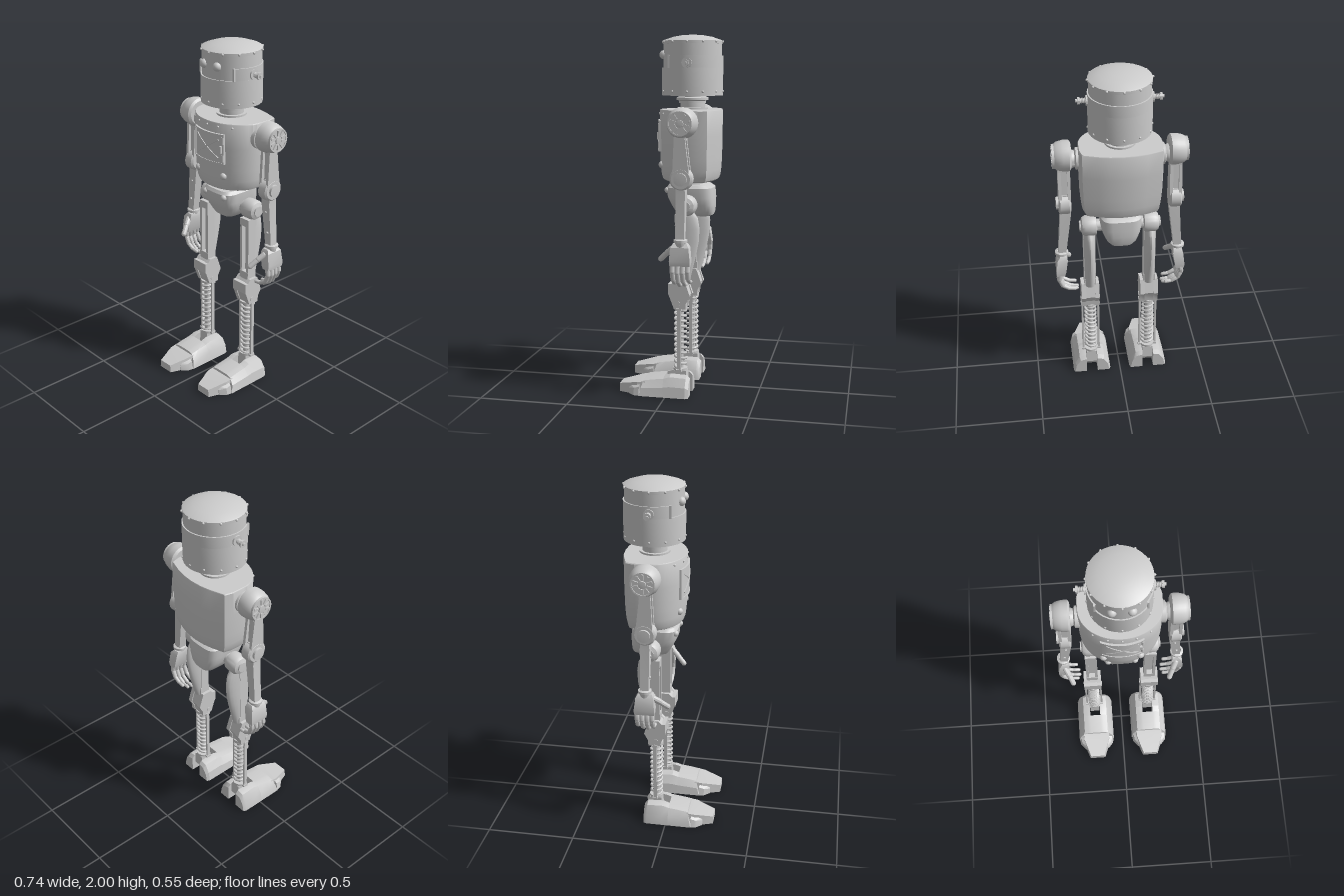
import * as THREE from 'three';
import { toCreasedNormals } from 'three/addons/utils/BufferGeometryUtils.js';

const MAT = new THREE.MeshStandardMaterial({ color: 0xcccccc, side: THREE.DoubleSide });
const V = (x, y, z) => new THREE.Vector3(x, y, z);

function add(group, name, geo, x = 0, y = 0, z = 0) {
  const m = new THREE.Mesh(geo, MAT);
  m.name = name;
  m.position.set(x, y, z);
  group.add(m);
  return m;
}
const box = (w, h, d, sx = 1) => new THREE.BoxGeometry(w, h, d, sx, 1, 1);
const ball = (r) => new THREE.SphereGeometry(r, 12, 8);

// Turned part from [radius, height] pairs, listed from bottom to top
function turned(pts, start = 0, sweep = Math.PI * 2) {
  return toCreasedNormals(new THREE.LatheGeometry(pts.map((p) => new THREE.Vector2(...p)), 32, start, sweep), 0.6);
}
// The same, lying along x
const turnedX = (pts) => turned(pts).rotateZ(-Math.PI / 2);

// Skin over matching rings of points, with closed ends
function loft(rings, crease = 0.6) {
  const tris = [], n = rings[0].length;
  for (let i = 0; i < rings.length - 1; i++) for (let j = 0; j < n; j++) {
    const k = (j + 1) % n, [r, s] = [rings[i], rings[i + 1]];
    tris.push([r[j], r[k], s[k]], [r[j], s[k], s[j]]);
  }
  const mid = (r) => r.reduce((a, p) => a.add(p), V(0, 0, 0)).divideScalar(n);
  const first = rings[0], last = rings[rings.length - 1], a = mid(first), b = mid(last);
  for (let j = 0; j < n; j++) {
    const k = (j + 1) % n;
    tris.push([first[k], first[j], a], [last[j], last[k], b]);
  }
  const volume = tris.reduce((s, t) => s + t[0].dot(t[1].clone().cross(t[2])), 0);
  const geo = new THREE.BufferGeometry().setFromPoints(tris.flatMap((t) => (volume < 0 ? [t[0], t[2], t[1]] : t)));
  return toCreasedNormals(geo, crease);
}
const rect = (x0, x1, y, z0, z1) => [V(x0, y, z0), V(x1, y, z0), V(x1, y, z1), V(x0, y, z1)];

// Plate cut from a [z, y] outline, running from x0 to x1
function slab(pts, x0, x1) {
  const shape = new THREE.Shape(pts.map(([z, y]) => new THREE.Vector2(-z, y)));
  return new THREE.ExtrudeGeometry(shape, { depth: x1 - x0, bevelEnabled: false }).rotateY(Math.PI / 2).translate(x0, 0, 0);
}
// Jointed chain of rounded bones
function bones(group, name, pts, r) {
  for (let i = 0; i < pts.length - 1; i++) {
    const d = pts[i + 1].clone().sub(pts[i]);
    const m = add(group, name, new THREE.CapsuleGeometry(r * (1 - 0.1 * i), d.length() * 0.85, 4, 10));
    m.position.copy(pts[i]).addScaledVector(d, 0.5);
    m.quaternion.setFromUnitVectors(V(0, 1, 0), d.normalize());
  }
}
// Mirror copy across x = 0 with corner order kept right
function mirrored(src, name) {
  const out = new THREE.Group();
  out.name = name;
  src.updateMatrixWorld(true);
  src.traverse((o) => {
    if (!o.isMesh) return;
    const g = (o.geometry.index ? o.geometry.toNonIndexed() : o.geometry.clone()).applyMatrix4(o.matrixWorld);
    g.scale(-1, 1, 1);
    for (const at of [g.attributes.position, g.attributes.normal]) for (let i = 0; i < at.count; i += 3) {
      const p = V().fromBufferAttribute(at, i + 1), q = V().fromBufferAttribute(at, i + 2);
      at.setXYZ(i + 1, q.x, q.y, q.z);
      at.setXYZ(i + 2, p.x, p.y, p.z);
    }
    g.computeVertexNormals();
    add(out, o.name, toCreasedNormals(g, 0.6));
  });
  return out;
}

function head() {
  const g = new THREE.Group(), z = -0.1;
  g.name = 'head';
  add(g, 'skull', turned([[0.163, 1.8], [0.163, 1.95], [0.167, 1.95], [0.167, 1.966], [0.16, 1.97], [0.11, 1.987], [0.055, 1.997], [0, 1.998]]), 0, 0, z);
  add(g, 'jawShell', turned([[0, 1.675], [0.15, 1.675], [0.15, 1.667], [0.17, 1.667], [0.17, 1.82], [0.16, 1.82]]), 0, 0, z);
  const a = 0.86;
  add(g, 'backShell', turned([[0.17, 1.82], [0.17, 1.885], [0.162, 1.885]], a, 2 * (Math.PI - a)), 0, 0, z);
  for (let i = 0; i < 12; i++) {
    const t = (i * Math.PI) / 6;
    for (const y of [1.69, 1.96]) add(g, 'headRivet', ball(0.007), 0.169 * Math.sin(t), y, z + 0.169 * Math.cos(t));
  }
  for (const s of [-1, 1]) {
    add(g, 'eye', ball(0.025), s * 0.05, 1.89, 0.053);
    add(g, 'temple', box(0.01, 0.07, 0.012), s * 0.132, 1.853, 0.008);
    const ear = add(g, 'earBolt', turnedX([[0.028, 0.16], [0.028, 0.177], [0.01, 0.177], [0.01, 0.208], [0.02, 0.208], [0.02, 0.22], [0.009, 0.22], [0.009, 0.23], [0, 0.23]]), 0, 1.845, z);
    if (s < 0) ear.rotation.y = Math.PI;
    for (let i = 0; i < 4; i++) add(g, 'earThread', new THREE.TorusGeometry(0.011, 0.004, 6, 14).rotateY(Math.PI / 2), s * (0.182 + i * 0.008), 1.845, z);
  }
  add(g, 'neck', turned([[0.085, 1.575], [0.085, 1.6], [0.068, 1.6], [0.068, 1.625], [0.075, 1.625], [0.075, 1.637], [0.09, 1.642], [0.09, 1.655], [0.075, 1.66], [0.075, 1.68]]), 0, 0, z);
  return g;
}

const frontZ = (x) => -0.1 + 0.18 * Math.sqrt(1 - (x / 0.225) ** 2);
// Wrap a flat piece onto the chest curve
function onChest(geo, x, y, lift) {
  geo.translate(x, y, lift);
  const p = geo.attributes.position;
  for (let i = 0; i < p.count; i++) p.setZ(i, p.getZ(i) + frontZ(p.getX(i)));
  geo.computeVertexNormals();
  return geo;
}

function body() {
  const g = new THREE.Group();
  g.name = 'body';
  const outline = [];
  for (let i = 0; i <= 24; i++) {
    const t = (i * Math.PI) / 24;
    outline.push([0.225 * Math.cos(t), -0.1 + 0.18 * Math.sin(t)]);
  }
  const back = [[-0.225, -0.17], [-0.212, -0.22], [-0.13, -0.247], [-0.07, -0.26]];
  outline.push(...back, [0, -0.265], ...back.map(([x, z]) => [-x, z]).reverse());
  const rings = [[1.59, 0.985], [1.585, 1], [1.45, 1], [1.32, 0.985], [1.26, 0.965], [1.225, 0.94], [1.205, 0.9], [1.197, 0.83]];
  add(g, 'torso', loft(rings.map(([y, s]) => outline.map(([x, z]) => V(x * s, y, -0.095 + (z + 0.095) * s)))));
  // Chest hatch with frame, crossed ridges, hinge and bolts
  add(g, 'hatch', onChest(box(0.23, 0.17, 0.012, 12), 0, 1.445, 0.002));
  for (const s of [-1, 1]) {
    add(g, 'hatchFrame', onChest(box(0.23, 0.009, 0.014, 12), 0, 1.445 + s * 0.082, 0.005));
    add(g, 'hatchFrame', onChest(box(0.009, 0.17, 0.014), s * 0.111, 1.445, 0.005));
    add(g, 'hatchRidge', onChest(box(0.2, 0.009, 0.014, 12).rotateZ(s * 0.58), 0, 1.445, 0.005));
    add(g, 'hatchHinge', new THREE.CylinderGeometry(0.008, 0.008, 0.04, 10), 0.108, 1.445 + s * 0.05, 0.066);
    add(g, 'bellyBolt', ball(0.021), s * 0.1, 1.285, 0.052);
  }
  add(g, 'hatchHandle', box(0.014, 0.04, 0.02), 0.1, 1.445, 0.07);
  for (let i = -2; i <= 2; i++) add(g, 'chestRivet', ball(0.007), i * 0.075, 1.568, frontZ(i * 0.075));
  // Waist and pelvis
  add(g, 'waist', turned([[0.065, 1.15], [0.065, 1.178], [0.085, 1.18], [0.085, 1.19], [0.07, 1.19], [0.07, 1.21]]), 0, 0, -0.095);
  const hips = [[1.172, 0.1, 0.025, -0.2], [1.155, 0.115, 0.037, -0.225], [1.1, 0.114, 0.032, -0.23], [1.06, 0.105, 0.012, -0.23], [1.02, 0.087, -0.01, -0.228], [1.0, 0.068, -0.022, -0.222], [0.992, 0.045, -0.045, -0.2]];
  const bulge = (v) => Math.sign(v) * Math.sqrt(Math.abs(v));
  add(g, 'pelvis', loft(hips.map(([y, hx, f, b]) => Array.from({ length: 28 }, (_, i) => {
    const t = (i * Math.PI) / 14;
    return V(hx * bulge(Math.cos(t)), y, (f + b) / 2 + ((f - b) / 2) * bulge(Math.sin(t)));
  }))));
  for (const s of [-1, 1]) add(g, 'pelvisBolt', ball(0.018), s * 0.075, 1.14, 0.027);
  return g;
}

function arm() {
  const g = new THREE.Group(), z = -0.1;
  g.name = 'leftArm';
  add(g, 'shoulderSocket', turnedX([[0.06, 0.2], [0.06, 0.238], [0.045, 0.245], [0.05, 0.258], [0.05, 0.28]]), 0, 1.505, z);
  add(g, 'shoulder', turnedX([[0, 0.262], [0.07, 0.262], [0.084, 0.272], [0.084, 0.305], [0.076, 0.338], [0.066, 0.352], [0.066, 0.364], [0.058, 0.364], [0.058, 0.358], [0.02, 0.358], [0.02, 0.368], [0, 0.37]]), 0, 1.527, z);
  for (let i = 0; i < 10; i++) add(g, 'shoulderSpoke', box(0.012, 0.03, 0.012).translate(0, 0.04, 0).rotateX((i * Math.PI) / 5), 0.36, 1.527, z);
  // Slotted upper arm
  const side = [[-0.065, 1.47], [-0.12, 1.47], [-0.145, 1.26], [-0.055, 1.26]];
  for (const x of [0.27, 0.32]) add(g, 'upperArmRail', slab(side, x, x + 0.017));
  add(g, 'upperArmCore', slab([[-0.08, 1.47], [-0.11, 1.47], [-0.125, 1.24], [-0.075, 1.24]], 0.287, 0.32));
  for (const y of [1.455, 1.275]) add(g, 'upperArmBlock', box(0.055, 0.03, 0.055), 0.304, y, z);
  add(g, 'elbow', turnedX([[0, 0.27], [0.05, 0.27], [0.062, 0.28], [0.062, 0.33], [0.052, 0.338], [0.035, 0.338], [0.035, 0.352], [0, 0.354]]), 0, 1.23, z);
  // Forearm and wrist
  add(g, 'forearm', loft([rect(0.27, 0.333, 1.19, -0.122, -0.074), rect(0.274, 0.333, 1.15, -0.124, -0.072), rect(0.306, 0.35, 0.9, -0.122, -0.076)], 0.2));
  for (const [x, y] of [[0.308, 1.1], [0.322, 0.98]]) add(g, 'forearmRivet', ball(0.008), x, y, -0.074);
  add(g, 'wrist', turned([[0.025, 0.86], [0.03, 0.89], [0.038, 0.892], [0.038, 0.905], [0.025, 0.91]]), 0.331, 0, z);
  // Hand
  add(g, 'palm', loft([rect(0.305, 0.342, 0.885, -0.135, -0.06), rect(0.3, 0.358, 0.865, -0.148, -0.048), rect(0.312, 0.367, 0.79, -0.157, -0.043), rect(0.32, 0.364, 0.765, -0.155, -0.045)], 0.5));
  for (let i = 0; i < 4; i++) {
    const k = [0.92, 1.03, 1, 0.86][i], path = [[0.345, 0.775], [0.352, 0.725], [0.33, 0.675], [0.288, 0.65], [0.247, 0.645]];
    bones(g, 'finger', path.map(([x, y]) => V(0.345 + (x - 0.345) * k, 0.775 + (y - 0.775) * k, -0.058 - i * 0.028)), 0.0145);
  }
  bones(g, 'thumb', [V(0.325, 0.855, -0.055), V(0.305, 0.825, -0.02), V(0.282, 0.785, 0.022)], 0.017);
  return g;
}

function leg() {
  const g = new THREE.Group(), x = 0.172;
  g.name = 'leftLeg';
  add(g, 'hipJoint', turnedX([[0.035, 0.09], [0.035, 0.13], [0.055, 0.135], [0.058, 0.15], [0.058, 0.195], [0.048, 0.213], [0.03, 0.22], [0.03, 0.227], [0, 0.228]]), 0, 1.068, -0.1);
  // Thigh: two rails in front, rounded shell behind
  for (const s of [-1, 1]) add(g, 'thighRail', box(0.016, 0.36, 0.055), x + s * 0.026, 0.83, -0.07);
  for (const y of [1.0, 0.67]) add(g, 'thighBlock', box(0.068, 0.045, 0.062), x, y, -0.072);
  const shell = [[1.045, -0.135], [1.0, -0.165], [0.94, -0.174], [0.87, -0.17], [0.8, -0.157], [0.72, -0.138], [0.64, -0.118]];
  add(g, 'thighShell', loft(shell.map(([y, b]) => Array.from({ length: 13 }, (_, i) => {
    const t = (i * Math.PI) / 12;
    return V(x + 0.033 * Math.cos(t), y, -0.07 + (b + 0.07) * Math.sin(t));
  }))));
  // Knee: side plates around a core
  const knee = [[-0.045, 0.655], [-0.012, 0.62], [-0.01, 0.575], [-0.04, 0.495], [-0.105, 0.495], [-0.108, 0.53], [-0.13, 0.57], [-0.1, 0.655]];
  for (const k of [0.12, 0.198]) add(g, 'kneePlate', slab(knee, k, k + 0.026));
  add(g, 'kneeCore', slab(knee.map(([z, y]) => [-0.068 + (z + 0.068) * 0.9, y]), 0.146, 0.198));
  add(g, 'kneeCap', box(0.104, 0.06, 0.03), x, 0.605, -0.022);
  add(g, 'kneePin', turnedX([[0, -0.056], [0.014, -0.056], [0.014, 0.056], [0, 0.056]]), x, 0.525, -0.062);
  // Shin: rod, coil spring and side rails between two flanges
  const z = -0.068;
  for (const y of [0.142, 0.492]) {
    add(g, 'shinFlange', new THREE.CylinderGeometry(0.04, 0.04, 0.014, 24), x, y, z);
    add(g, 'shinBridge', box(0.112, 0.012, 0.03), x, y, z);
  }
  add(g, 'shinRod', new THREE.CylinderGeometry(0.018, 0.018, 0.4, 16), x, 0.32, z);
  for (const s of [-1, 1]) add(g, 'shinRail', box(0.011, 0.37, 0.02), x + s * 0.047, 0.317, z);
  const turns = 11, coil = Array.from({ length: turns * 12 + 1 }, (_, i) => {
    const t = (i * Math.PI) / 6;
    return V(0.031 * Math.cos(t), 0.15 + (0.335 * i) / (turns * 12), 0.031 * Math.sin(t));
  });
  add(g, 'spring', new THREE.TubeGeometry(new THREE.CatmullRomCurve3(coil), turns * 16, 0.0075, 6), x, 0, z);
  // Ankle
  add(g, 'ankle', slab([[-0.035, 0.135], [-0.105, 0.135], [-0.11, 0.06], [-0.09, 0.03], [-0.05, 0.03], [-0.03, 0.06]], x - 0.03, x + 0.03));
  add(g, 'anklePin', turnedX([[0.013, -0.06], [0.013, 0.06]]), x, 0.065, -0.07);
  // Foot: solid front, heel split in two lobes
  const half = (zz, s, w, h) => [[0.033, 0], [0.113 * w, 0], [0.103 * w, 0.06 * h], [0.075 * w, 0.108 * h], [0.05 * w, 0.116 * h], [0.033, 0.118 * h]].map(([px, py]) => V(x + s * px, py, zz));
  for (const s of [-1, 1]) {
    add(g, 'heel', loft([half(-0.13, s, 0.93, 0.8), half(-0.112, s, 1, 0.97), half(-0.02, s, 1, 1), half(0.015, s, 1, 0.9)], 0.3));
    add(g, 'toeWedge', loft([[[0.06, 0], [0.11, 0], [0.1, 0.05], [0.06, 0.07]], [[0.06, 0], [0.105, 0], [0.096, 0.04], [0.06, 0.06]], [[0.05, 0], [0.075, 0], [0.07, 0.03], [0.05, 0.05]]].map((r, i) => r.map(([px, py]) => V(x + s * px, py, [0.15, 0.18, 0.215][i]))), 0.2));
  }
  const whole = (...a) => [...half(a[0], 1, a[1], a[2]).slice(1), ...half(a[0], -1, a[1], a[2]).slice(1).reverse()];
  const front = whole(0.15, 1, 0.74).map((p) => V(p.x, p.y, 0.15 - p.y * 0.25));
  add(g, 'instep', loft([whole(0.015, 1, 0.9), whole(0.08, 1, 0.82), front], 0.3));
  const toe = (zz, w, t, h) => [V(x - w, 0, zz), V(x + w, 0, zz), V(x + t, h, zz), V(x - t, h, zz)];
  add(g, 'toe', loft([toe(0.12, 0.088, 0.082, 0.076), toe(0.165, 0.088, 0.08, 0.07), toe(0.275, 0.048, 0.043, 0.045)], 0.2));
  return g;
}

export function createModel() {
  const model = new THREE.Group();
  model.name = 'robot';
  const a = arm(), l = leg();
  model.add(head(), body(), a, mirrored(a, 'rightArm'), l, mirrored(l, 'rightLeg'));
  return model;
}
